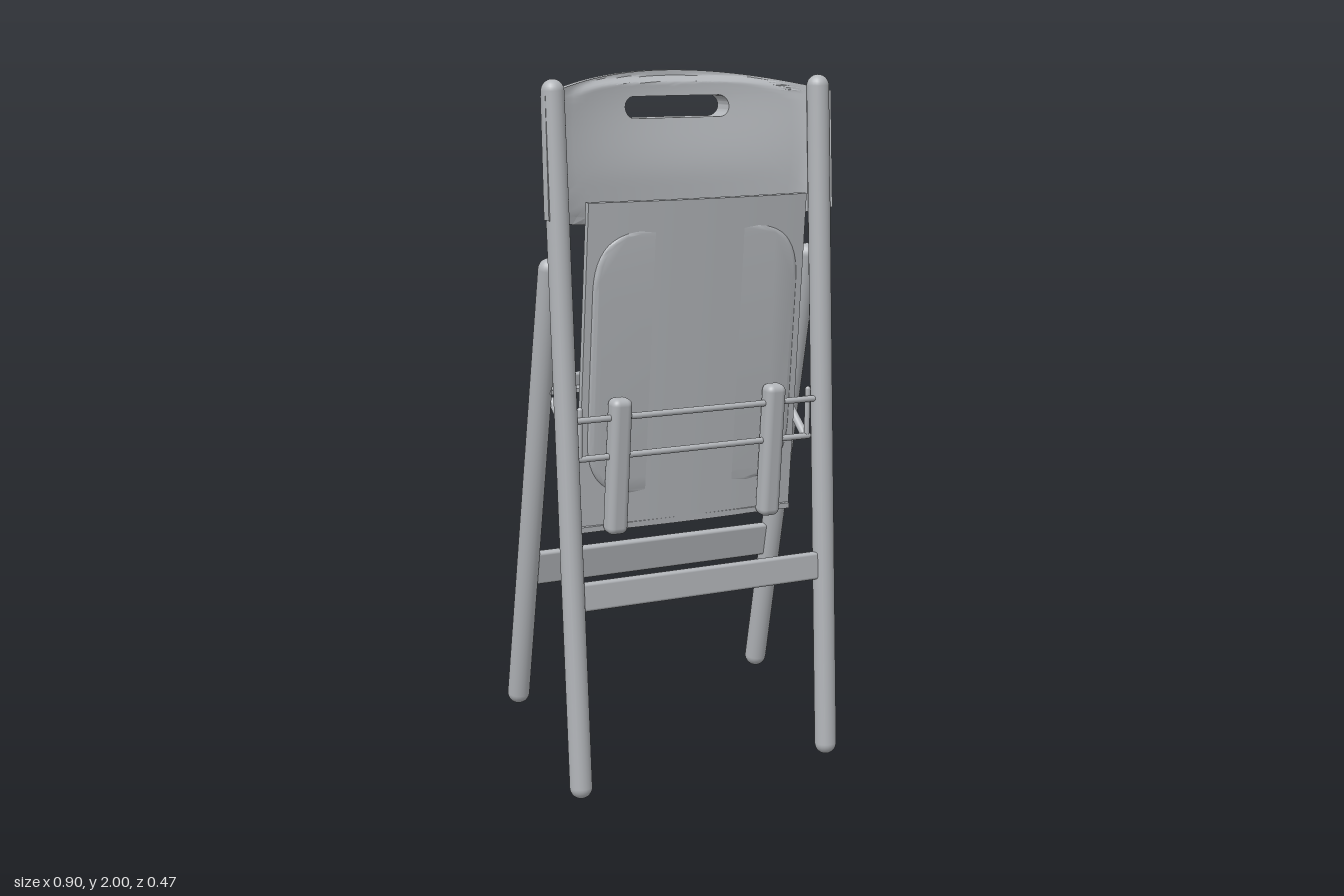
import * as THREE from 'three';
import { toCreasedNormals } from 'three/addons/utils/BufferGeometryUtils.js';
import { RoundedBoxGeometry } from 'three/addons/geometries/RoundedBoxGeometry.js';

const grey = new THREE.MeshStandardMaterial({ color: 0xb2b5b9 });
grey.name = 'grey';

function add(parent, name, geometry, x = 0, y = 0, z = 0, tilt = 0) {
  const mesh = new THREE.Mesh(geometry, grey);
  mesh.name = name;
  mesh.position.set(x, y, z);
  mesh.rotation.x = tilt;
  parent.add(mesh);
  return mesh;
}

// Round-ended bar between two points
function bar(parent, name, a, b, r) {
  const p = new THREE.Vector3(...a), q = new THREE.Vector3(...b);
  const d = q.clone().sub(p);
  const mesh = add(parent, name, new THREE.CapsuleGeometry(r, d.length(), 8, 20));
  mesh.position.copy(p).add(q).multiplyScalar(0.5);
  mesh.quaternion.setFromUnitVectors(new THREE.Vector3(0, 1, 0), d.normalize());
}

// Curved backrest: rings grow from the hand slot to the outer edge, rear then front
function backrestGeometry() {
  const side = 28, rings = 14, count = side * 4, loop = (rings + 1) * 2;
  const corners = [[1, -1], [1, 1], [-1, 1], [-1, -1]];
  const rear = (x, y) => 0.1 - 0.14 * (1 - (x / 0.45) ** 2) + 0.02 * (2 - y) / 0.42;
  const front = (x, y) => {
    const rim = rear(x, y) + 0.03;
    const e = (Math.abs(x) / 0.4) ** 4 + (Math.abs(y - 1.78) / 0.2) ** 4;
    const depth = 0.085 - 0.04 * THREE.MathUtils.smoothstep(2 - y, 0.03, 0.3);
    const pad = 0.115 - depth * (1 - (x / 0.45) ** 2);
    return THREE.MathUtils.lerp(rim, Math.max(pad, rim), 1 - THREE.MathUtils.smoothstep(e, 0.75, 1.1));
  };
  const pos = [], index = [];
  for (let i = 0; i < count; i++) {
    const k = Math.floor(i / side), f = (i % side) / side;
    const [c, n] = [corners[k], corners[(k + 1) % 4]];
    const u = c[0] + (n[0] - c[0]) * f, v = c[1] + (n[1] - c[1]) * f;
    const a = v * Math.PI / 2;
    const sx = u * 0.135 + (Math.abs(u) === 1 ? u * 0.03 * Math.cos(a) : 0);
    const sy = 1.9 + 0.03 * Math.sin(a);
    const ox = 0.45 * u;
    const top = 2 - 0.06 * u * u, bottom = 1.58 + 0.03 * u ** 4;
    const oy = THREE.MathUtils.lerp(bottom, top, (v + 1) / 2);
    for (let j = 0; j < loop; j++) {
      const isRear = j <= rings;
      const s = (isRear ? rings - j : j - rings - 1) / rings;
      const x = sx + (ox - sx) * s, y = sy + (oy - sy) * s;
      pos.push(x, y, isRear ? rear(x, y) : front(x, y));
      const A = i * loop + j, B = i * loop + (j + 1) % loop;
      const C = ((i + 1) % count) * loop + j, D = ((i + 1) % count) * loop + (j + 1) % loop;
      index.push(A, B, C, B, D, C);
    }
  }
  const g = new THREE.BufferGeometry();
  g.setAttribute('position', new THREE.Float32BufferAttribute(pos, 3));
  g.setIndex(index);
  return toCreasedNormals(g, 0.7);
}

// Slightly bowed sheet
function bowedSheet(w, h, d, bow) {
  const g = new THREE.BoxGeometry(w, h, d, 20, 1, 1);
  const p = g.attributes.position;
  for (let i = 0; i < p.count; i++) p.setZ(i, p.getZ(i) - bow * (2 * p.getX(i) / w) ** 2);
  return toCreasedNormals(g, 0.6);
}

// Rounded seat cushion
function cushionGeometry(w, h, r, depth) {
  const s = new THREE.Shape(), x = w / 2, y = h / 2;
  s.moveTo(-x + r, -y);
  s.lineTo(x - r, -y).quadraticCurveTo(x, -y, x, -y + r);
  s.lineTo(x, y - r).quadraticCurveTo(x, y, x - r, y);
  s.lineTo(-x + r, y).quadraticCurveTo(-x, y, -x, y - r);
  s.lineTo(-x, -y + r).quadraticCurveTo(-x, -y, -x + r, -y);
  return toCreasedNormals(new THREE.ExtrudeGeometry(s, {
    depth, bevelThickness: 0.012, bevelSize: 0.015, bevelOffset: -0.015, bevelSegments: 3, curveSegments: 12,
  }), 0.7);
}

export function createModel() {
  const chair = new THREE.Group();
  chair.name = 'foldingChair';

  // Legs, the right pair leaning slightly outward
  bar(chair, 'leftFrontLeg', [0.415, 0.033, 0.202], [0.415, 1.953, 0.118], 0.032);
  bar(chair, 'rightFrontLeg', [-0.393, 0.033, 0.202], [-0.421, 1.953, 0.118], 0.032);
  bar(chair, 'leftRearLeg', [0.415, 0.2, -0.202], [0.415, 1.47, 0.07], 0.032);
  bar(chair, 'rightRearLeg', [-0.393, 0.2, -0.202], [-0.412, 1.47, 0.07], 0.032);

  // Cross rails
  add(chair, 'frontRail', new RoundedBoxGeometry(0.79, 0.08, 0.03, 3, 0.008), 0.01, 0.57, 0.178, -0.04);
  add(chair, 'lowerRearRail', new RoundedBoxGeometry(0.79, 0.1, 0.026, 3, 0.008), 0.01, 0.59, -0.117, 0.21);
  add(chair, 'upperRearRail', new RoundedBoxGeometry(0.8, 0.05, 0.02, 3, 0.006), 0.005, 1.14, -0.03, 0.21);
  add(chair, 'upperRearShelf', new THREE.BoxGeometry(0.79, 0.012, 0.06), 0.005, 1.122, 0);

  // Backrest
  add(chair, 'backrest', backrestGeometry());

  // Folded seat with cushion, lip and two mounting blocks
  const seat = new THREE.Group();
  seat.name = 'seat';
  seat.position.set(0, 0.73, 0.105);
  seat.rotation.x = 0.09;
  chair.add(seat);
  add(seat, 'seatPlate', bowedSheet(0.69, 0.928, 0.018, 0.012), 0, 0.464, -0.009);
  add(seat, 'seatCushion', cushionGeometry(0.65, 0.76, 0.17, 0.026), 0, 0.475, -0.04);
  add(seat, 'seatLip', new THREE.BoxGeometry(0.68, 0.016, 0.04), 0, 0.01, -0.02);
  for (const x of [-0.245, 0.25]) {
    add(seat, 'mountingBlock', new RoundedBoxGeometry(0.062, 0.39, 0.055, 4, 0.02), x, 0.195, 0.025);
  }

  // Pivot rods
  bar(chair, 'upperPivotRod', [-0.43, 1.062, 0.162], [0.4, 1.062, 0.162], 0.009);
  bar(chair, 'lowerPivotRod', [-0.375, 0.952, 0.15], [0.375, 0.952, 0.15], 0.009);

  // Folding links between the front and rear frames
  for (const x of [-0.365, 0.37]) {
    bar(chair, 'foldingLink', [x, 0.952, 0.14], [x, 1.09, -0.015], 0.012);
    bar(chair, 'linkStrut', [x, 0.952, 0.15], [x, 1.09, 0.155], 0.008);
  }
  return chair;
}
